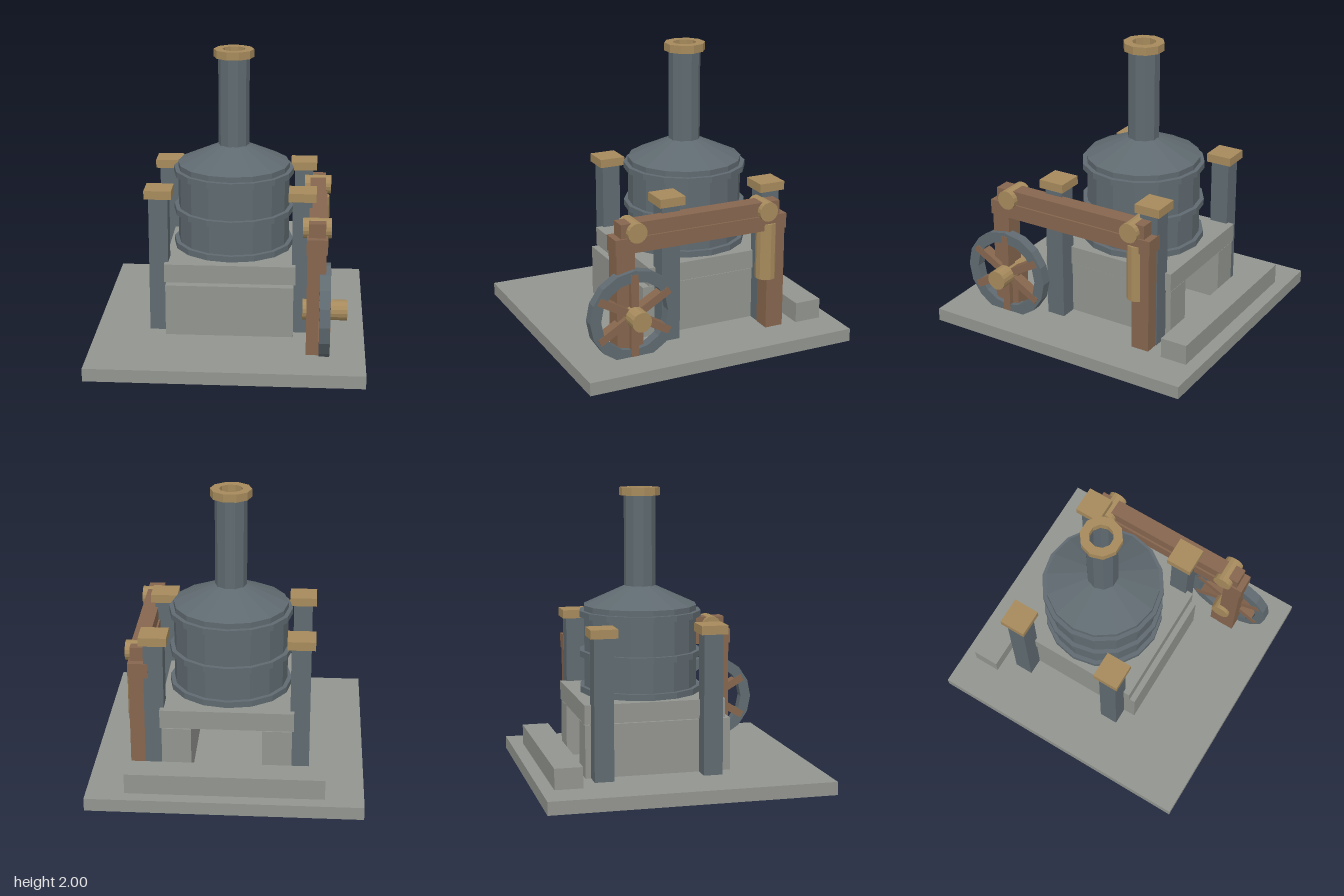
import * as THREE from 'three';

const paint = (color) => new THREE.MeshStandardMaterial({ color, flatShading: true });

export function createModel() {
  const model = new THREE.Group();
  const stone = paint(0x92948f), iron = paint(0x5f6a70), brass = paint(0xa68a5c), wood = paint(0x86664e);

  const add = (name, geometry, material, parent = model) => {
    const mesh = new THREE.Mesh(geometry, material);
    mesh.name = name;
    parent.add(mesh);
    return mesh;
  };
  // Box given by its limits on each axis
  const box = (name, material, [x0, x1], [y0, y1], [z0, z1]) => {
    const mesh = add(name, new THREE.BoxGeometry(x1 - x0, y1 - y0, z1 - z0), material);
    mesh.position.set((x0 + x1) / 2, (y0 + y1) / 2, (z0 + z1) / 2);
    return mesh;
  };
  const lathe = (name, material, profile, sides, start = 0, parent = model) =>
    add(name, new THREE.LatheGeometry(profile.map(([r, y]) => new THREE.Vector2(r, y)), sides, start), material, parent);
  // Short round bar lying along x
  const pin = (name, x0, x1, y, z, r) => {
    const mesh = add(name, new THREE.CylinderGeometry(r, r, x1 - x0, 16), brass);
    mesh.rotation.z = -Math.PI / 2;
    mesh.position.set((x0 + x1) / 2, y, z);
  };

  // Ground slab and the stone step behind the furnace
  box('baseSlab', stone, [-0.93, 0.93], [0, 0.09], [-0.97, 0.97]);
  box('backStep', stone, [-0.67, 0.67], [0.09, 0.232], [-0.88, -0.69]);

  // Furnace, open at the back
  box('furnaceFront', stone, [-0.44, 0.44], [0.09, 0.452], [0.19, 0.375]);
  for (const side of [-1, 1]) {
    const wall = box('furnaceSide', stone, [0.24, 0.44], [0.09, 0.452], [-0.63, 0.33]);
    wall.position.x *= side;
  }
  box('furnaceTop', stone, [-0.452, 0.452], [0.46, 0.59], [-0.635, 0.335]);

  // Four capped corner pillars
  for (const x of [-0.492, 0.492]) {
    for (const z of [-0.525, 0.222]) {
      box('pillar', iron, [x - 0.066, x + 0.066], [0.09, 1.05], [z - 0.066, z + 0.066]);
      box('pillarCap', brass, [x - 0.094, x + 0.094], [1.05, 1.11], [z - 0.092, z + 0.092]);
    }
  }

  // Boiler with its dome, hoops and chimney
  const boilerZ = -0.15;
  lathe('boiler', iron, [[0, 0.59], [0.394, 0.59], [0.394, 1.195], [0.108, 1.325], [0, 1.37]], 16)
    .position.z = boilerZ;
  for (const y of [0.592, 0.84, 1.115]) {
    lathe('boilerHoop', iron, [[0.38, y], [0.424, y], [0.424, y + 0.042], [0.38, y + 0.042]], 16)
      .position.z = boilerZ;
  }
  lathe('chimney', iron, [[0.109, 1.31], [0.109, 1.97], [0.082, 1.97], [0.082, 1.33]], 10, Math.PI / 2)
    .position.z = boilerZ;
  lathe('chimneyCap', brass, [[0.1, 1.945], [0.14, 1.945], [0.14, 2], [0.08, 2], [0.08, 1.945]], 10, Math.PI / 2)
    .position.z = boilerZ;

  // Timber frame carrying the rocking beam
  box('frontPost', wood, [0.532, 0.658], [0, 0.81], [0.53, 0.66]);
  box('rearPost', wood, [0.532, 0.658], [0, 0.81], [-0.585, -0.455]);
  box('axleBlock', wood, [0.535, 0.655], [0, 0.38], [0.472, 0.6]);
  box('lowerBeam', wood, [0.527, 0.665], [0.805, 0.91], [-0.593, 0.67]);
  box('upperBeam', wood, [0.54, 0.652], [0.91, 1.005], [-0.545, 0.625]);
  pin('frontBeamPin', 0.5, 0.69, 0.945, 0.522, 0.068);
  pin('rearBeamPin', 0.5, 0.69, 0.945, -0.445, 0.068);

  // Upright steam cylinder
  add('steamCylinder', new THREE.CylinderGeometry(0.072, 0.072, 0.4, 12), brass)
    .position.set(0.61, 0.65, -0.47);

  // Flywheel: rim and six spokes, with the axle through it
  const wheel = new THREE.Group();
  wheel.name = 'flywheel';
  wheel.position.set(0.654, 0.375, 0.547);
  model.add(wheel);
  const rim = [[0.24, -0.036], [0.317, -0.036], [0.317, 0.036], [0.24, 0.036], [0.24, -0.036]];
  lathe('wheelRim', iron, rim, 16, 0, wheel).rotation.z = -Math.PI / 2;
  for (let i = 0; i < 6; i++) {
    const a = (i * Math.PI) / 3;
    const spoke = add('wheelSpoke', new THREE.BoxGeometry(0.077, 0.29, 0.054), wood, wheel);
    spoke.rotation.x = a;
    spoke.position.set(0, 0.145 * Math.cos(a), 0.145 * Math.sin(a));
  }
  pin('wheelAxle', 0.505, 0.805, 0.375, 0.547, 0.069);

  return model;
}
